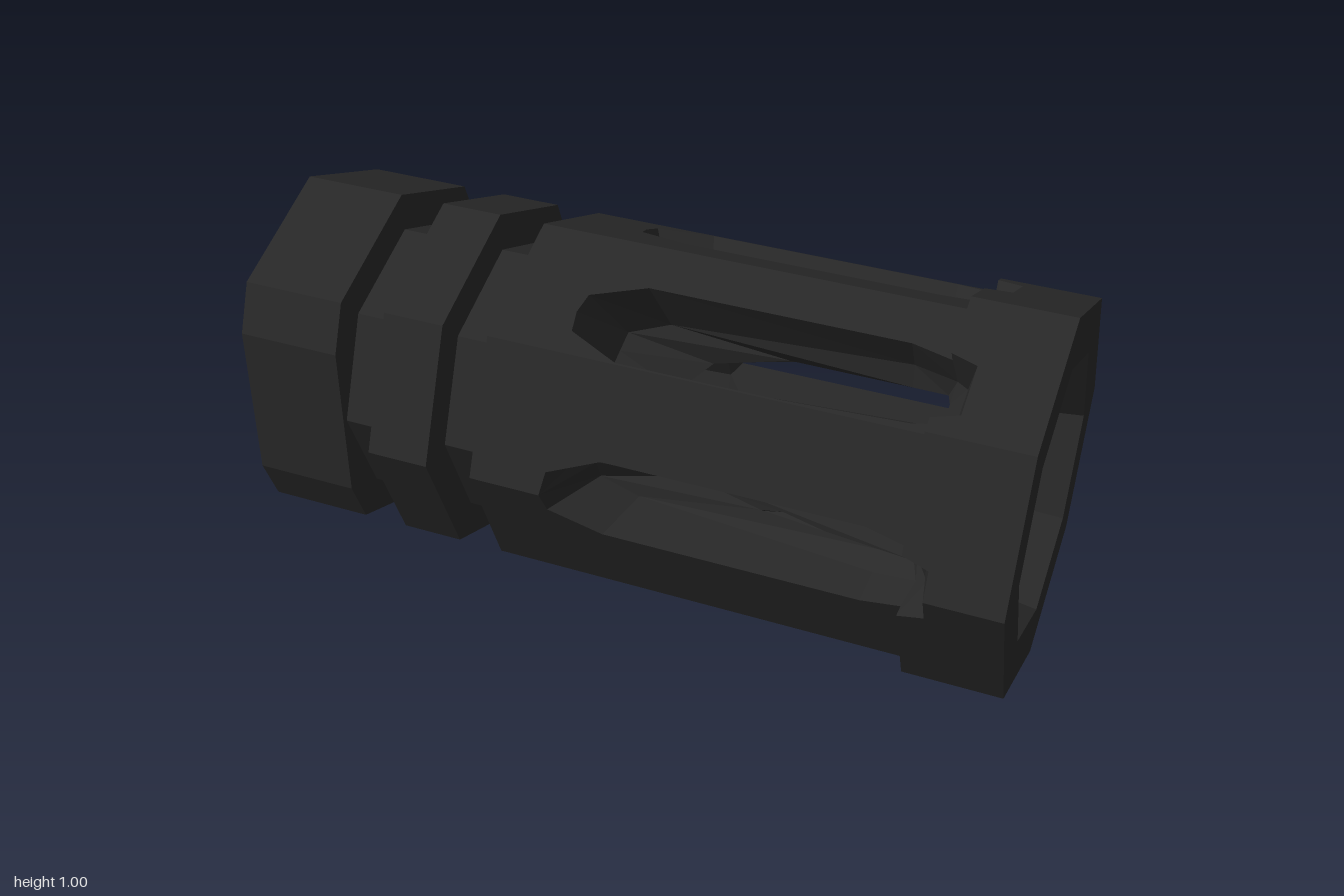
import * as THREE from 'three';

const RAD = Math.PI / 180;
// radius of an octagon (corners every 45 degrees) at a given angle
const octRadius = (R, deg) => R * Math.cos(22.5 * RAD) / Math.cos(((((deg % 45) + 45) % 45) - 22.5) * RAD);
const point = (x, r, deg) => new THREE.Vector3(x, 0.5 + r * Math.sin(deg * RAD), r * Math.cos(deg * RAD));

// collects flat quads, dropping degenerate triangles
class Faces {
  constructor() { this.p = []; }
  tri(a, b, c) {
    const n = b.clone().sub(a).cross(c.clone().sub(a));
    if (n.length() > 1e-7) for (const v of [a, b, c]) this.p.push(v.x, v.y, v.z);
  }
  quad(a, b, c, d) { this.tri(a, b, c); this.tri(a, c, d); }
  mesh(name, material) {
    const g = new THREE.BufferGeometry();
    g.setAttribute('position', new THREE.Float32BufferAttribute(this.p, 3));
    g.computeVertexNormals();
    const m = new THREE.Mesh(g, material);
    m.name = name;
    return m;
  }
}

// stations along the barrel: [x, slot half width, octagon radius]
const OUTER = [
  [-0.33, 0, 0.465], [-0.145, 0, 0.465], [-0.135, 0.055, 0.465], [0, 0.11, 0.465], [0.65, 0.11, 0.465],
  [0.75, 0.088, 0.465], [0.75, 0.088, 0.5], [0.815, 0.068, 0.5], [0.815, 0, 0.5], [1, 0, 0.5],
];
const MIDDLE = [
  [-0.07, 0, 0.29], [-0.07, 0, 0.29], [-0.07, 0.058, 0.29], [0.03, 0.1, 0.3], [0.65, 0.105, 0.36],
  [0.76, 0.08, 0.37], [0.76, 0.08, 0.37], [0.79, 0.06, 0.38], [0.79, 0, 0.38], [1, 0, 0.43],
];
const cone = (x) => 0.36 - 0.178 * (1 - x);
const INNER = [
  [-0.33, 0, 0.172], [0.1, 0, cone(0.1)], [0.14, 0.06, cone(0.14)], [0.33, 0.097, cone(0.33)], [0.65, 0.073, cone(0.65)],
  [0.74, 0.065, cone(0.74)], [0.74, 0.065, cone(0.74)], [0.75, 0.04, cone(0.75)], [0.75, 0, cone(0.75)], [1, 0, 0.36],
];

// points across one rib (between two neighbouring slots) at one station
function ribRow([x, w, R], start) {
  const half = w ? Math.asin(w / (R * 0.945)) / RAD : 0;
  const lo = start + half, hi = start + 60 - half;
  const angles = [lo];
  for (let c = 0; c < 360; c += 45) {
    if (c > start && c < start + 60) angles.push(Math.min(hi, Math.max(lo, c)));
  }
  angles.push(hi);
  return angles.map((a) => point(x, octRadius(R, a), a));
}

// slotted cage: outer skin, tapered bore, slot walls and end faces
function makeCage(material) {
  const skin = new Faces(), bore = new Faces(), walls = new Faces(), ends = new Faces();
  for (let k = 0; k < 6; k++) {
    const [o, m, n] = [OUTER, MIDDLE, INNER].map((list) => list.map((s) => ribRow(s, k * 60)));
    const last = o.length - 1, cols = o[0].length - 1;
    for (let i = 0; i < last; i++) {
      for (let j = 0; j < cols; j++) {
        skin.quad(o[i][j], o[i + 1][j], o[i + 1][j + 1], o[i][j + 1]);
        bore.quad(n[i][j], n[i][j + 1], n[i + 1][j + 1], n[i + 1][j]);
      }
      if (i < 1 || i >= last - 1) continue;
      for (const [a, b] of [[o, m], [m, n]]) {
        walls.quad(a[i][0], b[i][0], b[i + 1][0], a[i + 1][0]);
        walls.quad(a[i][cols], a[i + 1][cols], b[i + 1][cols], b[i][cols]);
      }
    }
    for (let j = 0; j < cols; j++) {
      ends.quad(n[last][j], n[last][j + 1], o[last][j + 1], o[last][j]);
      ends.quad(n[0][j], o[0][j], o[0][j + 1], n[0][j + 1]);
    }
  }
  const cage = new THREE.Group();
  cage.name = 'slottedCage';
  cage.add(skin.mesh('outerSkin', material), bore.mesh('taperedBore', material),
    walls.mesh('slotWalls', material), ends.mesh('endFaces', material));
  return cage;
}

const octagon = (R) => Array.from({ length: 8 }, (_, i) =>
  new THREE.Vector2(R * Math.cos(i * 45 * RAD), R * Math.sin(i * 45 * RAD)));

// prism along x with an octagonal bore
function makeRing(name, outline, x0, x1, material) {
  const shape = new THREE.Shape(outline);
  shape.holes.push(new THREE.Path(octagon(0.25)));
  const g = new THREE.ExtrudeGeometry(shape, { depth: x1 - x0, bevelEnabled: false });
  g.rotateY(Math.PI / 2).translate(x0, 0.5, 0);
  const m = new THREE.Mesh(g, material);
  m.name = name;
  return m;
}

export function createModel() {
  const metal = new THREE.MeshStandardMaterial({ color: 0x282828 });
  metal.name = 'blackMetal';
  const group = new THREE.Group();
  group.name = 'slottedMuzzleDevice';

  // rear collar with a flat on each side
  const d = 0.329, f = 0.38, h = 0.206;
  const flats = [[0, 0.465], [-d, d], [-f, h], [-f, -h], [-d, -d], [0, -0.465], [d, -d], [f, -h], [f, h], [d, d]]
    .map(([x, y]) => new THREE.Vector2(x, y));
  group.add(makeRing('rearCollar', flats, -1, -0.73, metal));

  // grooves and the raised ring between them
  group.add(makeRing('rearGroove', octagon(0.365), -0.73, -0.61, metal));
  group.add(makeRing('middleRing', octagon(0.465), -0.61, -0.45, metal));
  group.add(makeRing('frontGroove', octagon(0.365), -0.45, -0.33, metal));

  group.add(makeCage(metal));
  return group;
}
